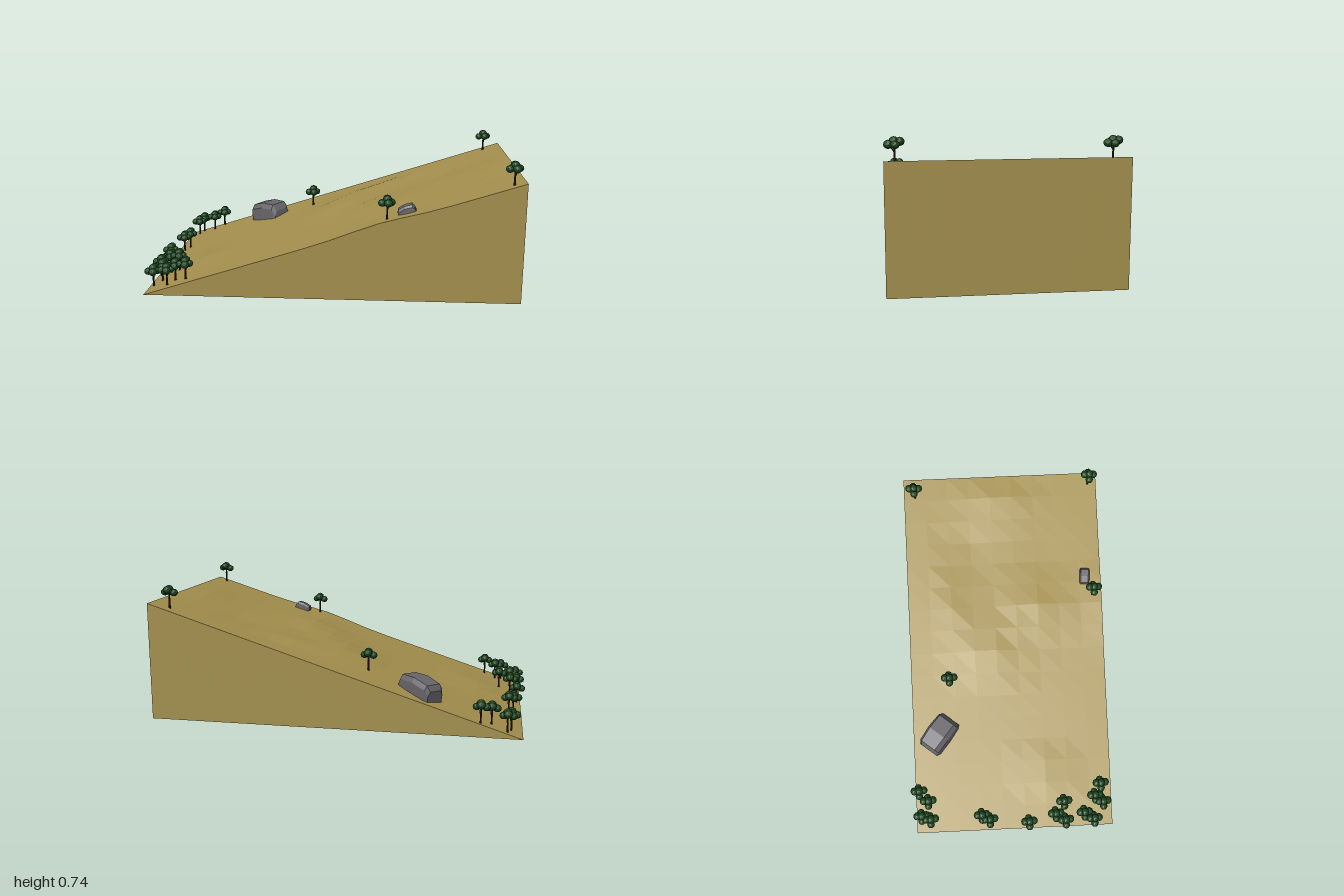
import * as THREE from 'three';
import { ConvexGeometry } from 'three/addons/geometries/ConvexGeometry.js';

const mat = (color) => new THREE.MeshStandardMaterial({ color, flatShading: true });

// Low swells on the slope: x, z, height, half-width in x, half-width in z
const swells = [
  [0.02, -0.12, 0.03, 0.16, 0.2],
  [0.25, 0.18, 0.03, 0.16, 0.2],
  [0.26, 0.58, 0.018, 0.2, 0.15],
  [0.25, -0.28, 0.02, 0.15, 0.1],
  [0.87, 0.0, 0.018, 0.1, 0.18],
  [0.6, -0.2, -0.012, 0.14, 0.14],
  [-0.68, 0.2, 0.016, 0.12, 0.16],
];

function groundHeight(x, z) {
  const t = (x + 0.98) / 1.98;
  let bump = 0;
  for (const [cx, cz, h, wx, wz] of swells) {
    bump += h * Math.exp(-(((x - cx) / wx) ** 2) - ((z - cz) / wz) ** 2);
  }
  // Swells die out at the two ends and at the straight back edge
  const fade = Math.min(1, 12 * t, 12 * (1 - t), (z + 0.56) / 0.15);
  return 0.635 * t + bump * Math.max(0, fade);
}

// Solid wedge of earth with a gently faceted top
function makeHill() {
  const geo = new THREE.BoxGeometry(1.98, 1, 1.14, 16, 1, 9);
  geo.translate(0.01, 0, 0.01);
  const p = geo.attributes.position;
  for (let i = 0; i < p.count; i++) {
    p.setY(i, p.getY(i) > 0 ? groundHeight(p.getX(i), p.getZ(i)) : 0);
  }
  geo.computeVertexNormals();
  const hill = new THREE.Mesh(geo, mat(0xa38f4d));
  hill.name = 'hillside';
  return hill;
}

// Tree: thin trunk, a side branch and a crown of leafy balls
const trunkGeo = new THREE.CylinderGeometry(0.004, 0.006, 0.1, 6);
const branchGeo = new THREE.CylinderGeometry(0.0025, 0.0035, 0.045, 5);
const leafGeo = new THREE.IcosahedronGeometry(1, 1);
const barkMat = mat(0x2b1a12);
const leafMat = mat(0x1b451d);
const crownBalls = [ // x, y, z, radius
  [0.0, 0.1, -0.024, 0.023],
  [-0.026, 0.084, 0.002, 0.022],
  [0.006, 0.088, 0.027, 0.023],
  [0.022, 0.087, -0.003, 0.021],
  [0.0, 0.103, 0.002, 0.023],
];

function makeTree(x, z) {
  const tree = new THREE.Group();
  tree.name = 'tree';
  const trunk = new THREE.Mesh(trunkGeo, barkMat);
  trunk.name = 'trunk';
  trunk.position.y = 0.04;
  const branch = new THREE.Mesh(branchGeo, barkMat);
  branch.name = 'branch';
  branch.position.set(0.004, 0.07, 0.012);
  branch.rotation.x = 0.6;
  tree.add(trunk, branch);
  for (const [bx, by, bz, r] of crownBalls) {
    const ball = new THREE.Mesh(leafGeo, leafMat);
    ball.name = 'foliage';
    ball.position.set(bx, by, bz);
    ball.scale.set(r, r * 0.92, r);
    tree.add(ball);
  }
  tree.position.set(x, groundHeight(x, z), z);
  return tree;
}

// Boulder: blocky hull made of tapered sections along its length
const rockSections = [ // x, base, top, half-depth, depth of the top bevel
  [-0.11, -0.04, 0.055, 0.055, 0.014],
  [-0.09, -0.05, 0.085, 0.066, 0.016],
  [0.0, -0.06, 0.097, 0.07, 0.016],
  [0.09, -0.05, 0.085, 0.066, 0.014],
  [0.11, -0.04, 0.045, 0.056, 0.012],
];
const rockPoints = rockSections.flatMap(([x, base, top, d, b]) => [
  [x, base, -d], [x, base, d],
  [x, top - 0.025, -d], [x, top - 0.035, d],
  [x, top, -d + b], [x, top - 0.006, d - b * 1.4],
].map((v) => new THREE.Vector3(...v)));
const rockGeo = new ConvexGeometry(rockPoints);
const rockMat = mat(0x67656a);

function makeRock(name, x, z, size, turn, tilt) {
  const rock = new THREE.Mesh(rockGeo, rockMat);
  rock.name = name;
  rock.position.set(x, groundHeight(x, z), z);
  rock.rotation.set(0, turn, tilt);
  rock.scale.setScalar(size);
  return rock;
}

const treeSpots = [
  // Back corner at the foot of the slope
  [-0.9, -0.525], [-0.92, -0.475], [-0.82, -0.485], [-0.765, -0.535],
  // Along the foot
  [-0.91, -0.18], [-0.935, -0.135], [-0.957, 0.09],
  [-0.92, 0.245], [-0.957, 0.3], [-0.855, 0.295],
  // Front corner at the foot
  [-0.92, 0.41], [-0.955, 0.465], [-0.865, 0.52], [-0.83, 0.475], [-0.765, 0.51],
  // Scattered higher up
  [-0.155, -0.335], [0.305, 0.525], [0.94, 0.53], [0.9, -0.495],
];

export function createModel() {
  const model = new THREE.Group();
  model.name = 'woodedHillside';
  model.add(makeHill());
  const trees = new THREE.Group();
  trees.name = 'trees';
  for (const [x, z] of treeSpots) trees.add(makeTree(x, z));
  model.add(trees);
  model.add(makeRock('largeBoulder', -0.44, -0.405, 1, -0.68, 0.16));
  model.add(makeRock('smallBoulder', 0.41, 0.485, 0.42, -0.08, 0.4));
  return model;
}
